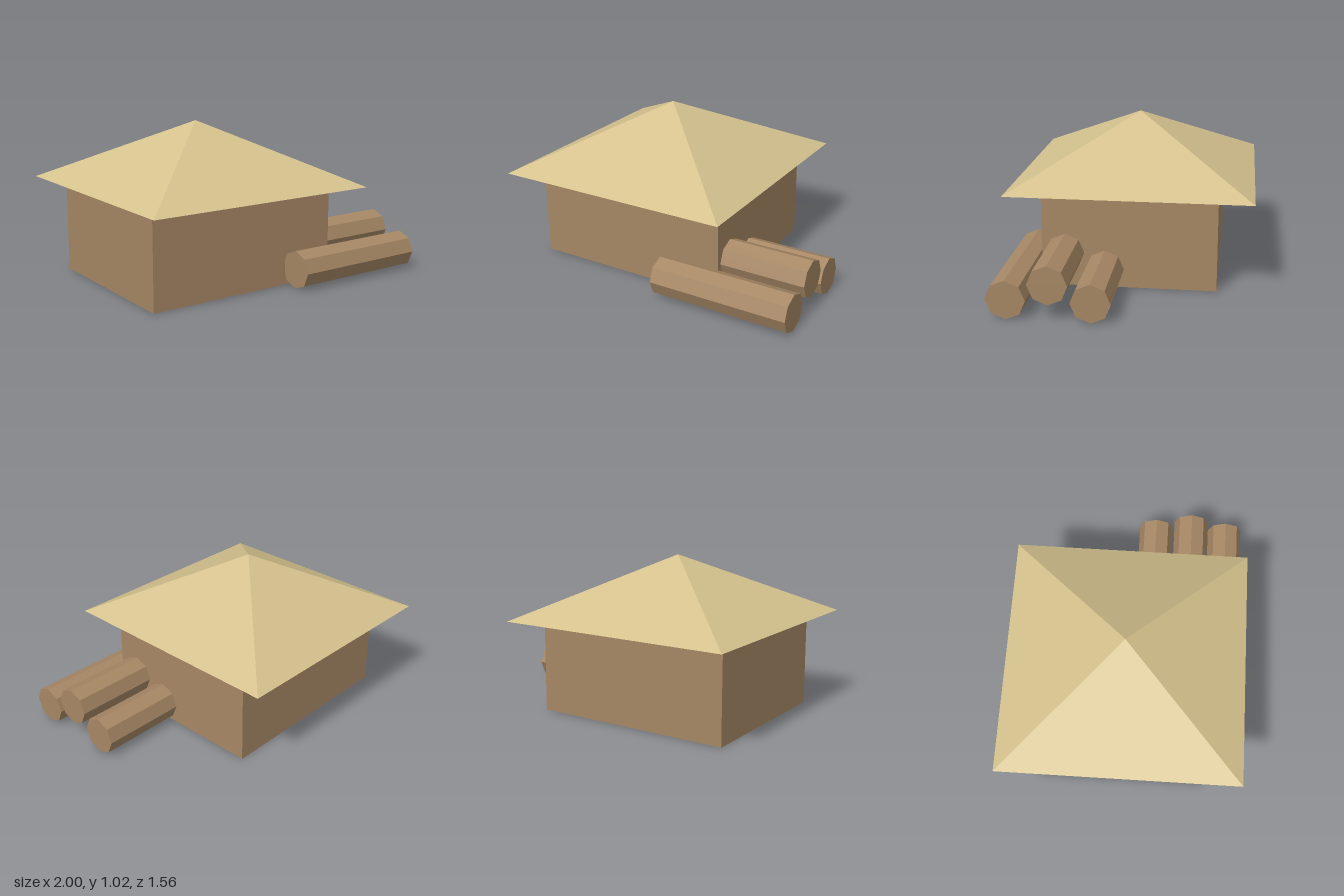
import * as THREE from 'three';

export function createModel() {
  const model = new THREE.Group();
  model.name = 'hutWithLogs';

  const wood = new THREE.MeshStandardMaterial({ color: 0xa68764 });
  wood.name = 'wood';
  wood.flatShading = true;
  const thatch = new THREE.MeshStandardMaterial({ color: 0xd4c18d });
  thatch.name = 'thatch';
  thatch.flatShading = true;

  function add(name, geometry, material, x, y, z) {
    const mesh = new THREE.Mesh(geometry, material);
    mesh.name = name;
    mesh.position.set(x, y, z);
    model.add(mesh);
  }

  // Walls of the hut
  const hutX = -0.22, wallHeight = 0.613;
  add('walls', new THREE.BoxGeometry(1.32, wallHeight, 1.115), wood, hutX, wallHeight / 2, 0);

  // Four-sided pyramid roof with overhanging eaves
  const roofHeight = 0.403;
  const roof = new THREE.ConeGeometry(0.78 * Math.SQRT2, roofHeight, 4).rotateY(Math.PI / 4);
  add('roof', roof, thatch, hutX, wallHeight + roofHeight / 2, 0);

  // Three eight-sided logs stacked against the side: [y, z]
  const log = new THREE.CylinderGeometry(0.1215, 0.1215, 0.913, 8).rotateZ(Math.PI / 2);
  [[0.1215, 0.66], [0.1215, 0.154], [0.224, 0.407]].forEach(([y, z], i) => {
    add('log' + (i + 1), log, wood, 0.5435, y, z);
  });

  return model;
}
